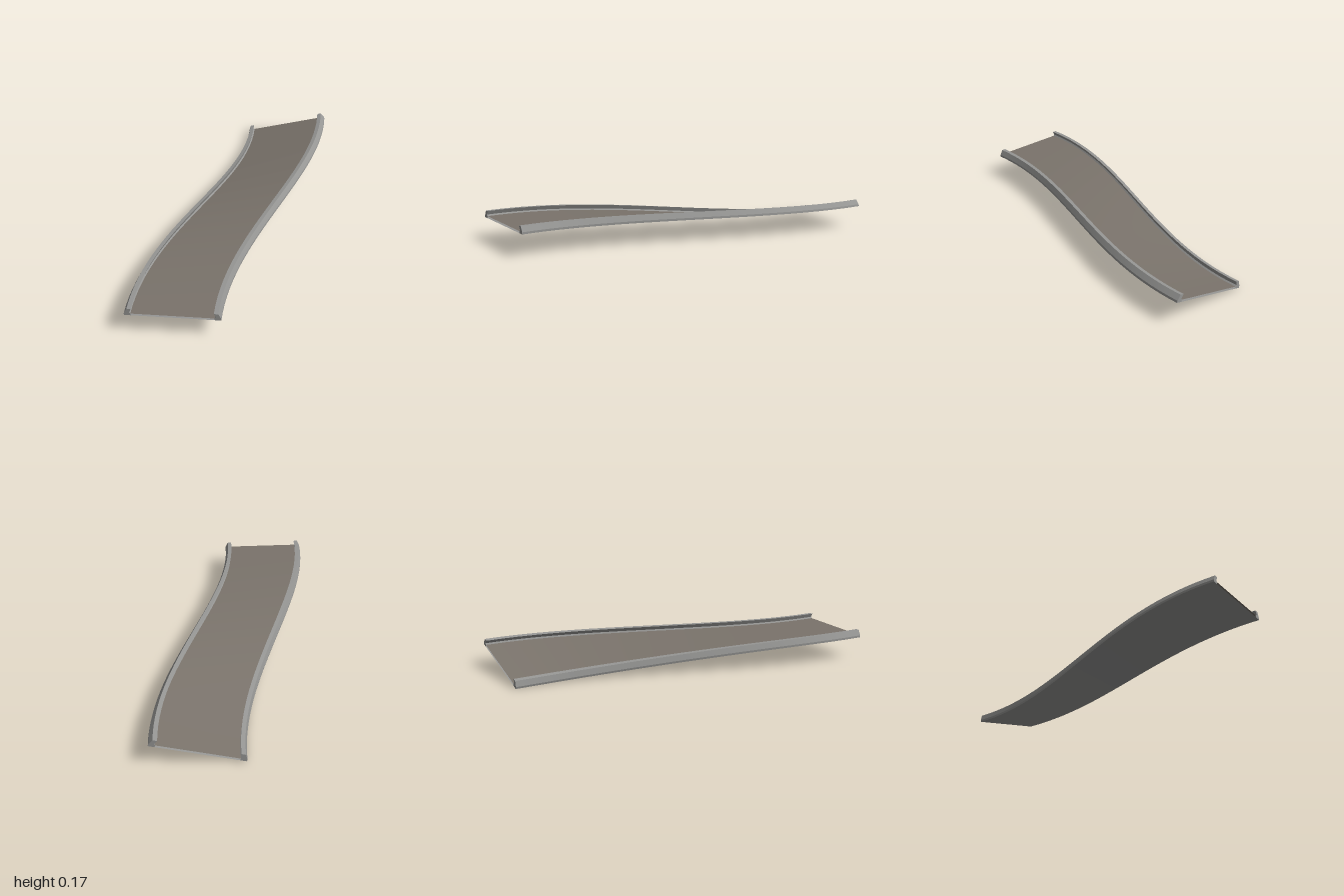
import * as THREE from 'three';
import { mergeGeometries } from 'three/addons/utils/BufferGeometryUtils.js';

const WIDTH = 0.5, BANK = 0.13, STEPS = 32;

// Rail half-section: s = distance in from the road edge, h = height above the base
const RAIL = [[0.034, 0.012], [0.028, 0.02], [0.038, 0.042], [0.015, 0.042], [0, 0.012], [0, 0]];
const mirror = (pts) => pts.map(([s, h]) => [WIDTH - s, h]).reverse();

// Place a section point on the S-curve; t = 0 at the front end, 1 at the banked back end
function place([s, h], t) {
  const ease = t * t * (3 - 2 * t);
  const slope = (BANK * Math.pow(ease, 1.25)) / WIDTH;
  const tilt = Math.atan(slope);
  return [
    -0.5 + 0.5 * ease + s - h * Math.sin(tilt),
    BANK - (WIDTH - s) * slope + h * Math.cos(tilt),
    1 - 2 * t,
  ];
}

// Smooth along the road, creased between neighbouring section edges
function strip(a, b) {
  const pos = [], index = [];
  for (let j = 0; j <= STEPS; j++) {
    pos.push(...place(a, j / STEPS), ...place(b, j / STEPS));
    if (j < STEPS) {
      const k = j * 2;
      index.push(k, k + 2, k + 1, k + 1, k + 2, k + 3);
    }
  }
  const g = new THREE.BufferGeometry();
  g.setAttribute('position', new THREE.Float32BufferAttribute(pos, 3));
  g.setIndex(index);
  g.computeVertexNormals();
  return g;
}

// Flat end face of a rail
function cap(section, t) {
  const pts = section.map(([s, h]) => new THREE.Vector2(s, h));
  const faces = THREE.ShapeUtils.triangulateShape(pts, []);
  const g = new THREE.BufferGeometry();
  g.setAttribute('position', new THREE.Float32BufferAttribute(section.flatMap((p) => place(p, t)), 3));
  g.setIndex(faces.flatMap(([a, b, c]) => (t === 0 ? [a, b, c] : [a, c, b])));
  g.computeVertexNormals();
  return g;
}

function sweep(points) {
  return points.slice(1).map((p, i) => strip(points[i], p));
}

export function createModel() {
  const model = new THREE.Group();
  model.name = 'bankedRoad';
  const stone = new THREE.MeshStandardMaterial({ name: 'railGrey', color: 0x969694, side: THREE.DoubleSide });
  const surface = new THREE.MeshStandardMaterial({ name: 'roadBrown', color: 0x7a736b, side: THREE.DoubleSide });

  const add = (name, parts, material) => {
    const mesh = new THREE.Mesh(mergeGeometries(parts), material);
    mesh.name = name;
    model.add(mesh);
  };

  // Rails along both edges, capped at the ends
  const rightRail = RAIL, leftRail = mirror(RAIL);
  const rightCap = [...RAIL, [0.034, 0]];
  const leftCap = mirror(rightCap);
  add('rightRail', [...sweep(rightRail), cap(rightCap, 0), cap(rightCap, 1)], stone);
  add('leftRail', [...sweep(leftRail), cap(leftCap, 0), cap(leftCap, 1)], stone);

  // Road surface between the rails, and the underside
  add('roadSurface', [strip([WIDTH - 0.034, 0.012], [0.034, 0.012])], surface);
  add('underside', [strip([0, 0], [WIDTH, 0])], stone);
  return model;
}
